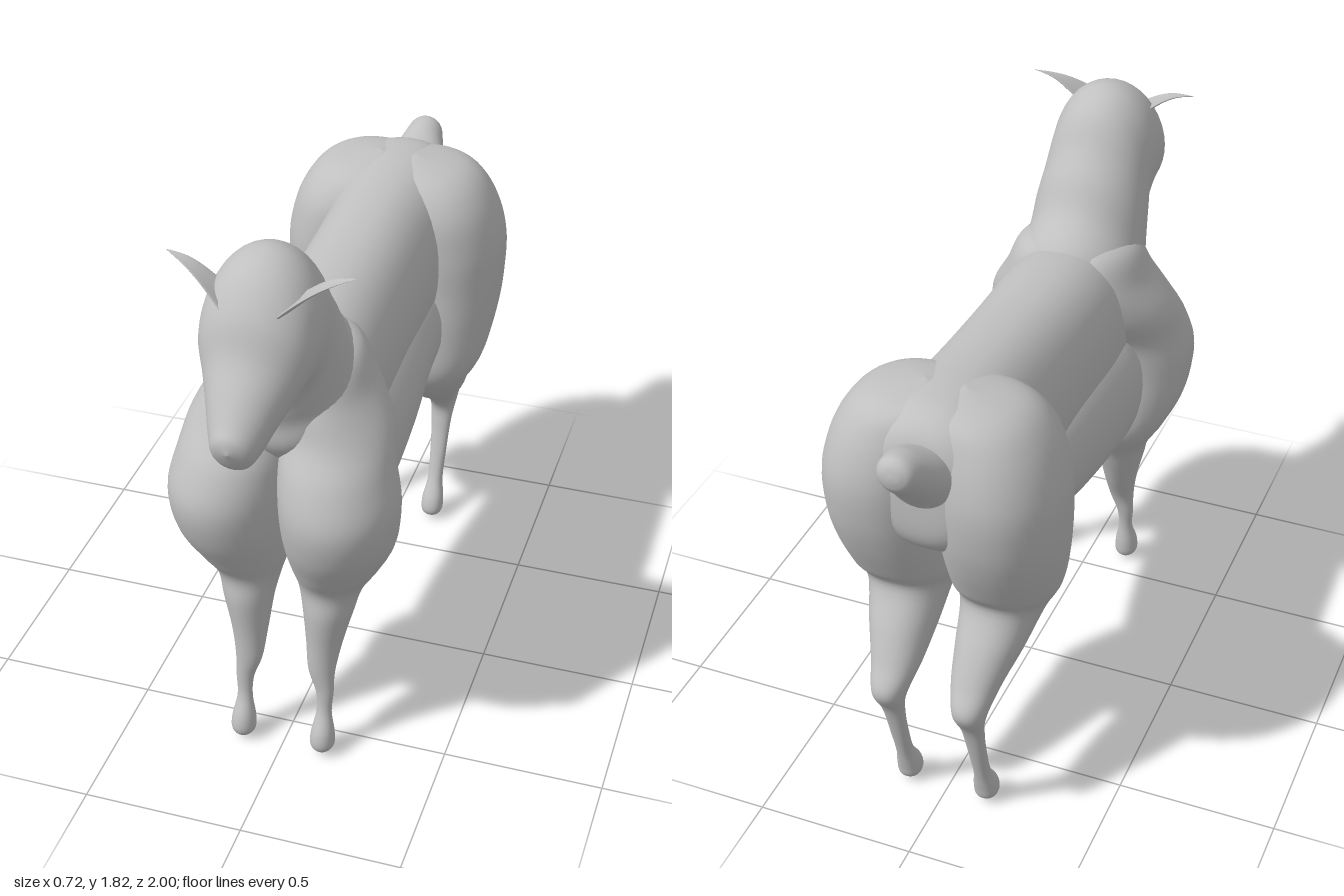
import * as THREE from 'three';

const coat = new THREE.MeshStandardMaterial({ color: 0xc0c0c0 });
coat.name = 'grey coat';
const earCoat = coat.clone();
earCoat.side = THREE.DoubleSide;

// Smooth closed skin from a function (u, v) -> [x, y, z]; v wraps round the ring
function skin(name, fn, rows, cols, material = coat) {
  const pos = [], idx = [];
  for (let i = 0; i <= rows; i++)
    for (let j = 0; j < cols; j++) pos.push(...fn(i / rows, j / cols));
  for (let i = 0; i < rows; i++)
    for (let j = 0; j < cols; j++) {
      const k = (j + 1) % cols;
      const a = i * cols + j, b = i * cols + k, c = a + cols, d = b + cols;
      idx.push(a, b, d, a, d, c);
    }
  // Turn the faces outward whichever way the rings run
  const p = (n) => new THREE.Vector3().fromArray(pos, n * 3);
  let volume = 0;
  for (let t = 0; t < idx.length; t += 3)
    volume += p(idx[t]).dot(p(idx[t + 1]).cross(p(idx[t + 2])));
  if (volume < 0) idx.reverse();
  const geo = new THREE.BufferGeometry();
  geo.setAttribute('position', new THREE.Float32BufferAttribute(pos, 3));
  geo.setIndex(idx);
  geo.computeVertexNormals();
  const mesh = new THREE.Mesh(geo, material);
  mesh.name = name;
  return mesh;
}

// Smooth interpolation along a list of sections
function sample(s, u) {
  const t = u * (s.length - 1), i = Math.min(Math.floor(t), s.length - 2), f = t - i;
  const a = s[Math.max(i - 1, 0)], b = s[i], c = s[i + 1], d = s[Math.min(i + 2, s.length - 1)];
  return b.map((_, k) => b[k] + 0.5 * f * (c[k] - a[k]
    + f * (2 * a[k] - 5 * b[k] + 4 * c[k] - d[k] + f * (3 * (b[k] - c[k]) + d[k] - a[k]))));
}

// Section: [centre x, half width, z and y of one edge, z and y of the opposite edge]
function loft(name, sections, side = 1, power = 1) {
  const soft = (w) => Math.sign(w) * Math.abs(w) ** power;
  return skin(name, (u, v) => {
    const [x, rx, zA, yA, zB, yB] = sample(sections, u);
    const c = soft(Math.cos(v * 2 * Math.PI)), s = soft(Math.sin(v * 2 * Math.PI));
    return [side * (x + rx * c), (yA + yB) / 2 + s * (yA - yB) / 2, (zA + zB) / 2 + s * (zA - zB) / 2];
  }, (sections.length - 1) * 6, 40);
}

const headAndNeck = [
  [0, 0, 0.995, 1.37, 0.995, 1.37],
  [0, 0.05, 0.99, 1.41, 0.955, 1.3],
  [0, 0.072, 0.965, 1.445, 0.91, 1.29],
  [0, 0.1, 0.92, 1.51, 0.83, 1.33],
  [0, 0.13, 0.865, 1.59, 0.76, 1.365],
  [0, 0.158, 0.82, 1.695, 0.71, 1.39],
  [0, 0.168, 0.74, 1.785, 0.685, 1.37],
  [0, 0.17, 0.63, 1.815, 0.675, 1.34],
  [0, 0.168, 0.53, 1.765, 0.665, 1.31],
  [0, 0.175, 0.463, 1.666, 0.655, 1.28],
  [0, 0.183, 0.405, 1.59, 0.64, 1.23],
  [0, 0.19, 0.345, 1.495, 0.63, 1.15],
  [0, 0.2, 0.25, 1.415, 0.58, 1.08],
  [0, 0.16, 0.2, 1.3, 0.5, 1.0],
  [0, 0, 0.3, 1.1, 0.3, 1.1],
];

const back = [
  [0, 0, 0.42, 1.2, 0.42, 1.2],
  [0, 0.17, 0.4, 1.36, 0.4, 0.9],
  [0, 0.205, 0.25, 1.415, 0.25, 0.88],
  [0, 0.2, -0.1, 1.437, -0.1, 0.9],
  [0, 0.2, -0.4, 1.462, -0.4, 0.9],
  [0, 0.22, -0.65, 1.482, -0.65, 0.95],
  [0, 0.2, -0.77, 1.465, -0.77, 1.0],
  [0, 0.13, -0.835, 1.39, -0.835, 1.08],
  [0, 0, -0.845, 1.22, -0.845, 1.22],
];

const belly = [
  [0, 0, 0.46, 0.9, 0.46, 0.9],
  [0, 0.2, 0.43, 1.1, 0.43, 0.72],
  [0, 0.25, 0.34, 1.17, 0.34, 0.65],
  [0, 0.25, 0.2, 1.18, 0.2, 0.645],
  [0, 0.24, -0.05, 1.18, -0.05, 0.683],
  [0, 0.22, -0.3, 1.17, -0.3, 0.735],
  [0, 0.21, -0.5, 1.16, -0.5, 0.78],
  [0, 0.15, -0.65, 1.1, -0.65, 0.88],
  [0, 0, -0.7, 1.0, -0.7, 1.0],
];

// Shoulder running down into the foreleg
const frontLeg = [
  [0.06, 0, 0.42, 1.43, 0.42, 1.43],
  [0.075, 0.105, 0.56, 1.37, 0.27, 1.4],
  [0.105, 0.13, 0.61, 1.27, 0.235, 1.29],
  [0.14, 0.158, 0.645, 1.17, 0.27, 1.17],
  [0.155, 0.17, 0.71, 1.07, 0.33, 1.06],
  [0.17, 0.178, 0.747, 0.95, 0.345, 0.95],
  [0.165, 0.168, 0.72, 0.82, 0.335, 0.8],
  [0.145, 0.138, 0.655, 0.7, 0.335, 0.69],
  [0.13, 0.097, 0.61, 0.62, 0.4, 0.58],
  [0.127, 0.076, 0.612, 0.53, 0.435, 0.5],
  [0.12, 0.056, 0.603, 0.41, 0.48, 0.4],
  [0.118, 0.042, 0.6, 0.31, 0.53, 0.3],
  [0.13, 0.028, 0.597, 0.23, 0.55, 0.22],
  [0.13, 0.024, 0.603, 0.155, 0.56, 0.15],
  [0.13, 0.037, 0.637, 0.085, 0.555, 0.07],
  [0.13, 0.035, 0.64, 0.035, 0.563, 0.025],
  [0.13, 0, 0.607, 0, 0.607, 0],
];

// Haunch running down into the hind leg
const hindLeg = [
  [0.06, 0, -0.63, 1.48, -0.63, 1.48],
  [0.09, 0.135, -0.49, 1.445, -0.77, 1.455],
  [0.14, 0.17, -0.425, 1.355, -0.83, 1.37],
  [0.17, 0.185, -0.41, 1.22, -0.865, 1.23],
  [0.175, 0.185, -0.41, 1.08, -0.855, 1.09],
  [0.17, 0.178, -0.405, 0.93, -0.82, 0.97],
  [0.16, 0.16, -0.41, 0.78, -0.765, 0.85],
  [0.15, 0.125, -0.47, 0.68, -0.725, 0.775],
  [0.14, 0.1, -0.57, 0.59, -0.785, 0.66],
  [0.13, 0.075, -0.68, 0.515, -0.835, 0.56],
  [0.13, 0.05, -0.765, 0.43, -0.876, 0.475],
  [0.13, 0.035, -0.765, 0.345, -0.825, 0.375],
  [0.13, 0.028, -0.735, 0.23, -0.785, 0.235],
  [0.13, 0.026, -0.705, 0.145, -0.76, 0.14],
  [0.13, 0.037, -0.665, 0.08, -0.745, 0.07],
  [0.13, 0.034, -0.658, 0.03, -0.733, 0.025],
  [0.13, 0, -0.695, 0, -0.695, 0],
];

const tail = [
  [0, 0.12, -0.76, 1.37, -0.8, 1.14],
  [0, 0.1, -0.845, 1.41, -0.868, 1.23],
  [0, 0.072, -0.91, 1.442, -0.935, 1.3],
  [0, 0.054, -0.965, 1.453, -0.985, 1.35],
  [0, 0.03, -0.99, 1.437, -0.998, 1.38],
  [0, 0, -1.0, 1.405, -1.0, 1.405],
];

// Thin leaf-shaped ear sweeping outward to a point
function ear(side) {
  const tip = [0.268, 1.79, 0.7], inner = [0.08, 1.69, 0.81], outer = [0.125, 1.715, 0.69];
  return skin('ear', (u, v) => {
    const c = Math.cos(v * 2 * Math.PI), s = Math.sin(v * 2 * Math.PI);
    const [x, y, z] = tip.map((t, k) => {
      const root = (inner[k] + outer[k]) / 2 + c * (inner[k] - outer[k]) / 2;
      return root + (t - root) * u;
    });
    const bow = 0.016 * Math.sin(u * Math.PI) + 0.01 * c * c * (1 - u);
    return [side * x, y + bow + s * 0.009 * (1 - u), z];
  }, 12, 20, earCoat);
}

export function createModel() {
  const model = new THREE.Group();
  model.name = 'animal';
  model.add(
    loft('headAndNeck', headAndNeck),
    loft('back', back, 1, 0.9),
    loft('belly', belly, 1, 0.9),
    loft('tail', tail),
  );
  // Mirrored parts
  for (const side of [1, -1]) {
    const half = new THREE.Group();
    half.name = side > 0 ? 'leftSide' : 'rightSide';
    half.add(
      loft('frontLeg', frontLeg, side),
      loft('hindLeg', hindLeg, side, 0.92),
      ear(side),
    );
    model.add(half);
  }
  return model;
}
